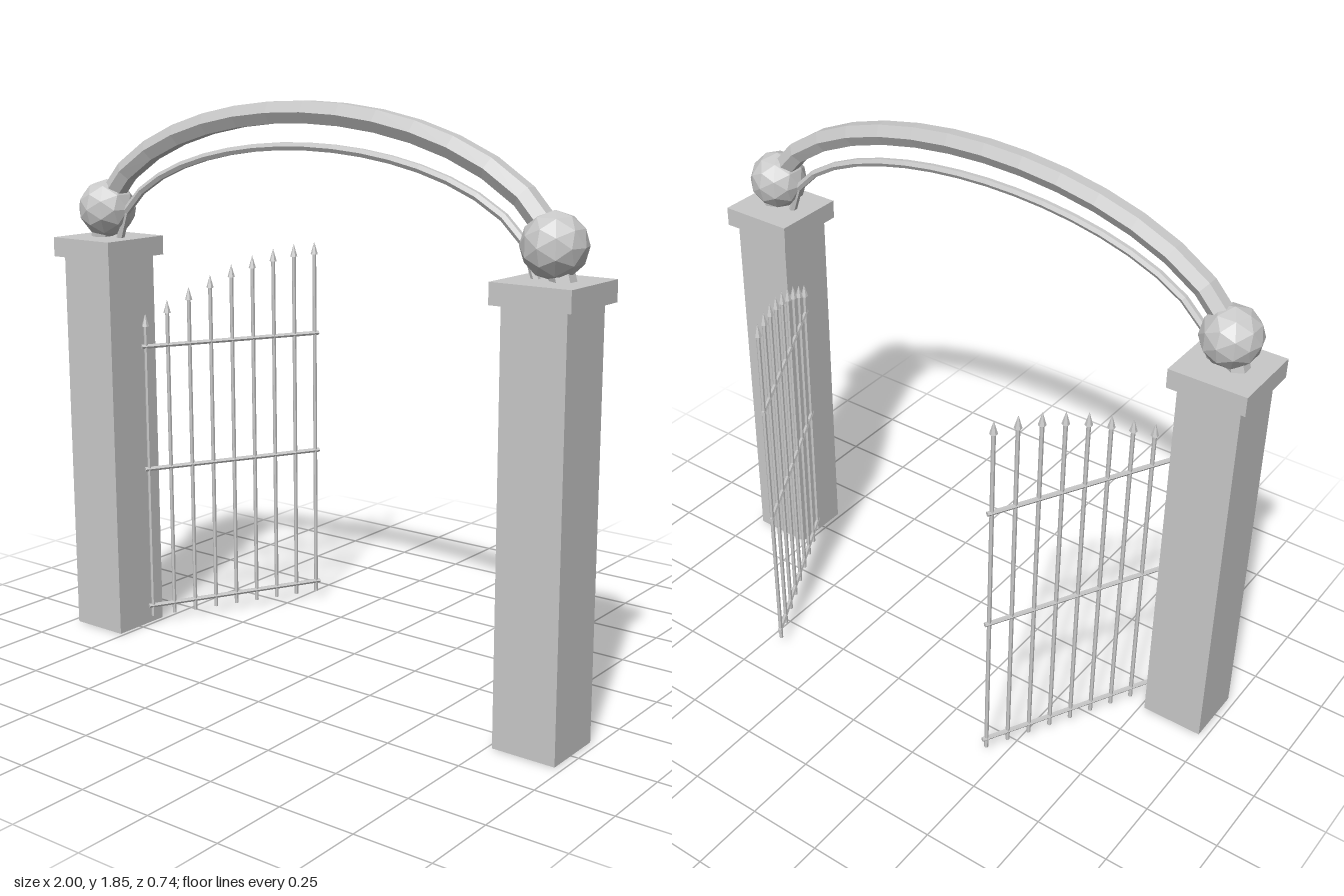
import * as THREE from 'three';

const stone = new THREE.MeshStandardMaterial({ color: 0xc8c8c8, flatShading: true });
stone.name = 'grey';

const PILLAR_X = 0.87, PILLAR_Z = 0.24;
const UP = new THREE.Vector3(0, 1, 0);

function add(parent, name, geometry, x = 0, y = 0, z = 0) {
  const mesh = new THREE.Mesh(geometry, stone);
  mesh.name = name;
  mesh.position.set(x, y, z);
  parent.add(mesh);
  return mesh;
}

// Half-ellipse path spanning the two pillars
class ArchCurve extends THREE.Curve {
  constructor(rx, ry, baseY) {
    super();
    Object.assign(this, { rx, ry, baseY });
  }
  getPoint(t, target = new THREE.Vector3()) {
    const a = Math.PI * (1 - t);
    return target.set(this.rx * Math.cos(a), this.baseY + this.ry * Math.sin(a), PILLAR_Z);
  }
}

// Square pillar with cap and faceted ball
function createPillar(side) {
  const pillar = new THREE.Group();
  pillar.name = side > 0 ? 'leftPillar' : 'rightPillar';
  pillar.position.set(side * PILLAR_X, 0, PILLAR_Z);
  add(pillar, 'shaft', new THREE.BoxGeometry(0.21, 1.32, 0.21), 0, 0.66, 0);
  add(pillar, 'cap', new THREE.BoxGeometry(0.26, 0.065, 0.26), 0, 1.347, 0);
  add(pillar, 'ball', new THREE.IcosahedronGeometry(0.098, 1), 0, 1.476, 0);
  return pillar;
}

// Open gate leaf: nine spear-topped bars rising in a curve, tied by three rails
function createGate(side) {
  const gate = new THREE.Group();
  gate.name = side > 0 ? 'leftGate' : 'rightGate';
  const hinge = new THREE.Vector3(side * 0.746, 0, 0.2);
  const tip = new THREE.Vector3(side * 0.448, 0, -0.356);
  const bottom = 0.03, spear = 0.045, count = 9;

  for (let i = 0; i < count; i++) {
    const t = i / (count - 1);
    const p = hinge.clone().lerp(tip, t);
    const top = 1.12 + 0.215 * Math.sin(t * Math.PI / 2);
    const length = top - spear - bottom;
    add(gate, 'bar', new THREE.CylinderGeometry(0.007, 0.007, length, 6), p.x, bottom + length / 2, p.z);
    add(gate, 'spearTip', new THREE.ConeGeometry(0.013, spear, 6), p.x, top - spear / 2, p.z);
  }

  const along = tip.clone().sub(hinge);
  const middle = hinge.clone().lerp(tip, 0.5);
  for (const y of [0.068, 0.57, 1.005]) {
    const rail = add(gate, 'rail', new THREE.CylinderGeometry(0.008, 0.008, along.length() + 0.03, 6), middle.x, y, middle.z);
    rail.quaternion.setFromUnitVectors(UP, along.clone().normalize());
  }
  return gate;
}

export function createModel() {
  const model = new THREE.Group();
  model.name = 'archedGateway';
  for (const side of [-1, 1]) model.add(createPillar(side), createGate(side));

  // Heavy hexagonal arch and the slim rod beneath it
  add(model, 'archBeam', new THREE.TubeGeometry(new ArchCurve(0.9, 0.44, 1.378), 16, 0.039, 6));
  add(model, 'archRod', new THREE.TubeGeometry(new ArchCurve(0.815, 0.342, 1.372), 18, 0.014, 6));
  return model;
}
